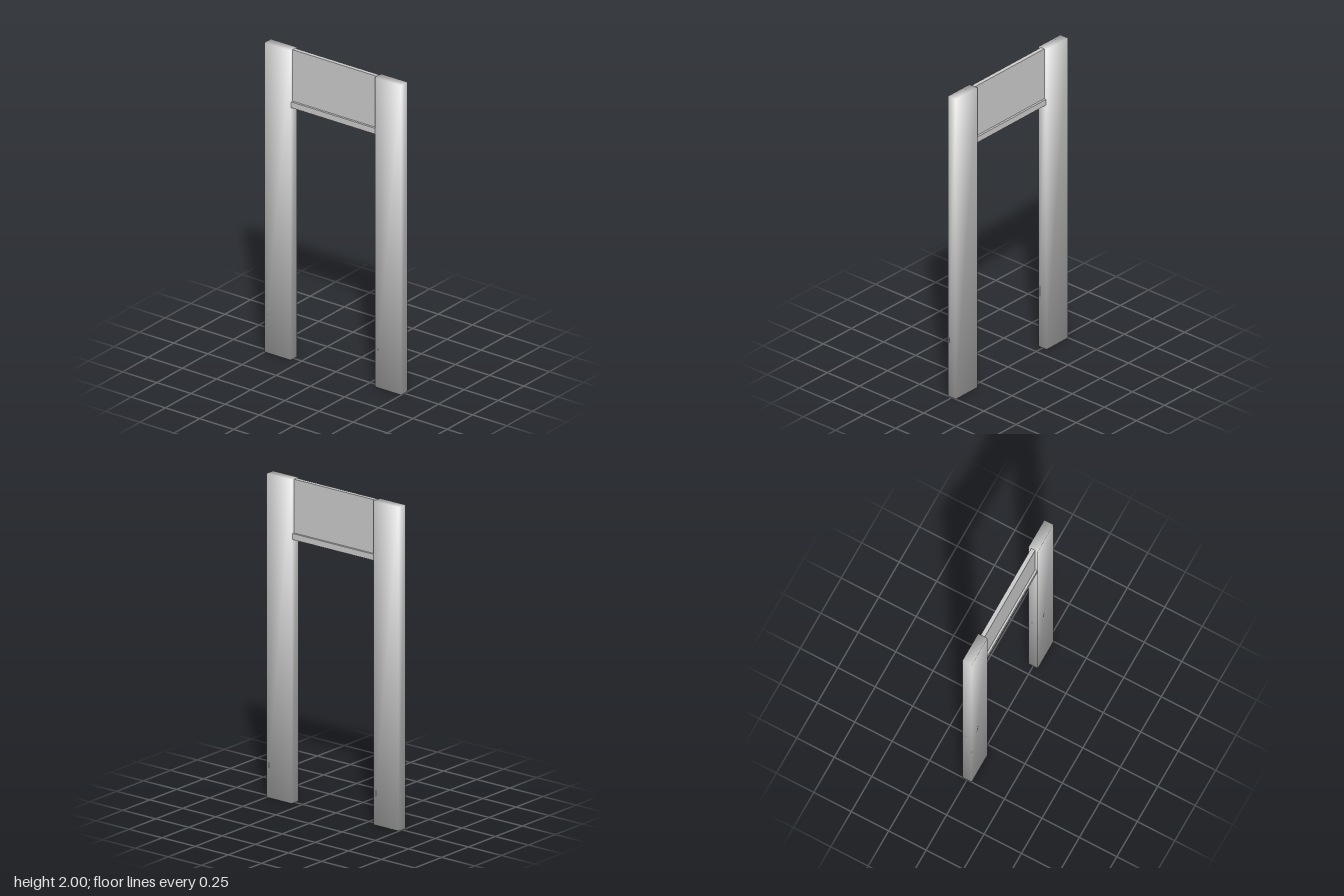
import * as THREE from 'three';

const material = new THREE.MeshStandardMaterial({ color: 0xcccccc });

function box(name, w, h, d, x, y) {
  const mesh = new THREE.Mesh(new THREE.BoxGeometry(w, h, d), material);
  mesh.name = name;
  mesh.position.set(x, y, 0);
  return mesh;
}

// Box shading blended over its corners: each normal points out along the diagonal
function softenCorners(geometry) {
  const p = geometry.attributes.position;
  const k = 1 / Math.sqrt(3);
  for (let i = 0; i < p.count; i++) {
    geometry.attributes.normal.setXYZ(
      i, Math.sign(p.getX(i)) * k, Math.sign(p.getY(i)) * k, Math.sign(p.getZ(i)) * k);
  }
}

export function createModel() {
  const group = new THREE.Group();
  group.name = 'gateway';

  // Two tall posts
  for (const [name, side] of [['leftPost', 1], ['rightPost', -1]]) {
    const post = box(name, 0.192, 2, 0.062, side * 0.404, 1);
    softenCorners(post.geometry);
    group.add(post);
  }

  // Thin header panel between the posts, with a thicker rail along its lower edge
  group.add(box('headerPanel', 0.616, 0.332, 0.026, 0, 1.834));
  group.add(box('bottomRail', 0.616, 0.038, 0.053, 0, 1.649));

  return group;
}
